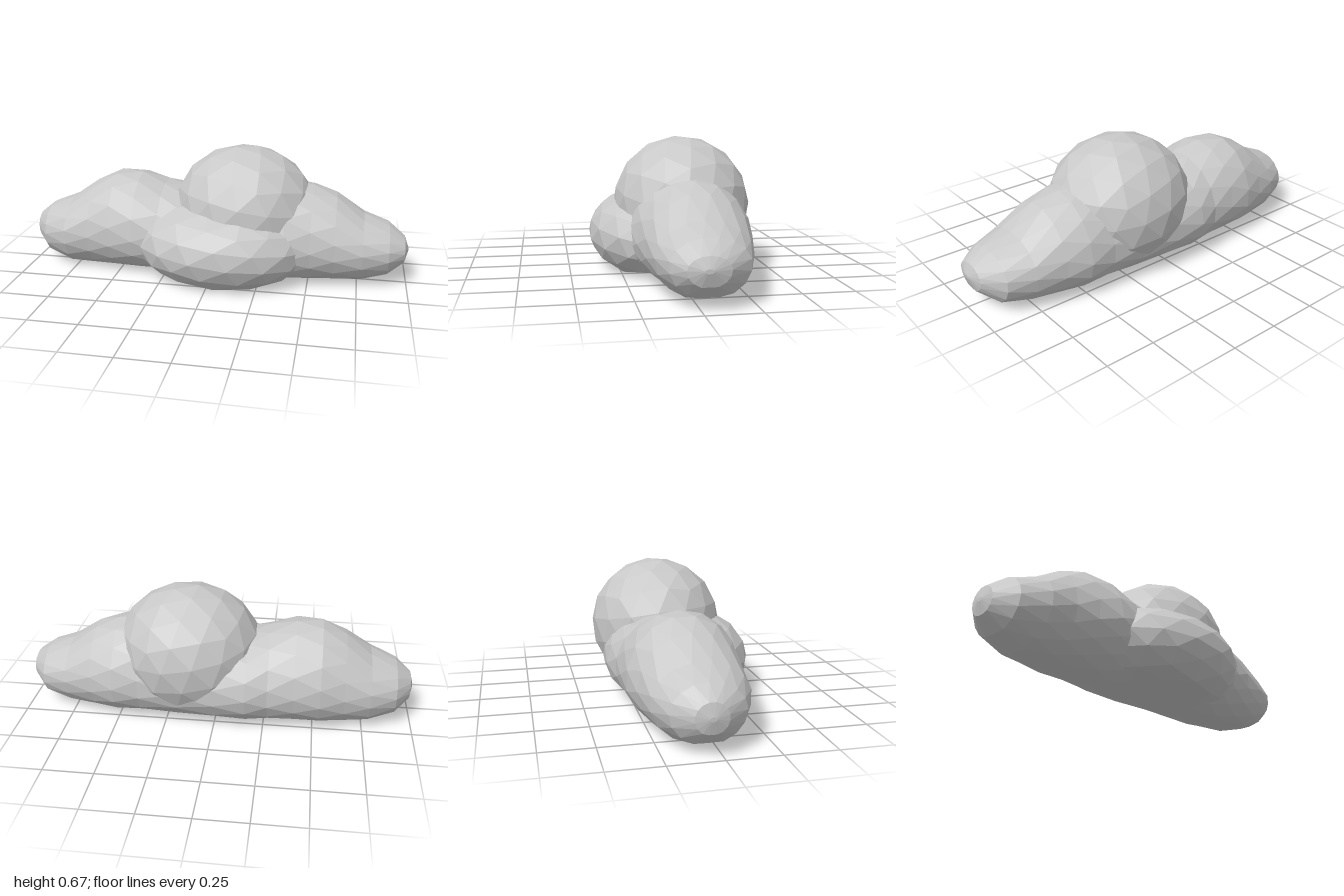
import * as THREE from 'three';

const cloudGrey = new THREE.MeshStandardMaterial({ color: 0xc8c8c8, flatShading: true });
cloudGrey.name = 'cloud grey';

// Cross-sections along x: [x, bottom, middle, top, back z, front z]
const SECTIONS = [
  [-1.0, 0.17, 0.18, 0.19, -0.07, -0.04],
  [-0.985, 0.11, 0.18, 0.25, -0.13, 0.02],
  [-0.91, 0.045, 0.18, 0.31, -0.22, 0.12],
  [-0.78, 0.005, 0.19, 0.36, -0.275, 0.18],
  [-0.65, 0, 0.2, 0.45, -0.305, 0.19],
  [-0.53, 0, 0.21, 0.505, -0.335, 0.21],
  [-0.4, 0, 0.21, 0.505, -0.34, 0.23],
  [-0.27, 0, 0.2, 0.465, -0.345, 0.225],
  [-0.16, 0, 0.2, 0.44, -0.37, 0.225],
  [0.0, 0, 0.2, 0.45, -0.365, 0.23],
  [0.2, 0, 0.2, 0.48, -0.35, 0.24],
  [0.38, 0, 0.2, 0.5, -0.335, 0.235],
  [0.51, 0, 0.2, 0.48, -0.335, 0.21],
  [0.63, 0.005, 0.2, 0.44, -0.305, 0.19],
  [0.77, 0.012, 0.19, 0.345, -0.27, 0.17],
  [0.9, 0.045, 0.18, 0.3, -0.225, 0.13],
  [0.98, 0.11, 0.18, 0.24, -0.12, 0.07],
  [1.0, 0.17, 0.18, 0.19, -0.04, 0.0],
];

// Long base: half ellipses above and below each section's widest level
function baseGeometry(sides = 16) {
  const points = [];
  const index = [];
  const last = SECTIONS.length - 1;
  SECTIONS.forEach(([x, bottom, middle, top, back, front], i) => {
    for (let j = 0; j < sides; j++) {
      const a = ((j + (i % 2) / 2) / sides) * Math.PI * 2;
      const c = Math.cos(a);
      const y = c > 0
        ? middle + c * (top - middle)
        : middle - Math.min(1, -c * 1.07) * (middle - bottom);
      points.push(x, y, (back + front) / 2 + Math.sin(a) * (front - back) / 2);
    }
  });
  for (let i = 0; i < last; i++) {
    for (let j = 0; j < sides; j++) {
      const k = (j + 1) % sides;
      const a = i * sides + j, b = i * sides + k;
      const c = a + sides, d = b + sides;
      // Alternate diagonals follow the half-step twist between rings
      if (i % 2) index.push(a, b, d, a, d, c);
      else index.push(a, b, c, b, d, c);
    }
  }
  // Close both tips
  for (let j = 1; j < sides - 1; j++) {
    const o = last * sides;
    index.push(0, j + 1, j, o, o + j, o + j + 1);
  }
  const g = new THREE.BufferGeometry();
  g.setAttribute('position', new THREE.Float32BufferAttribute(points, 3));
  g.setIndex(index);
  g.computeVertexNormals();
  return g;
}

// Faceted ellipsoid, flattened where it meets the ground
function puffGeometry(centre, radii) {
  const g = new THREE.IcosahedronGeometry(1.012, 2);
  g.rotateZ(0.35);
  g.rotateY(0.5);
  g.scale(...radii);
  g.translate(...centre);
  const p = g.attributes.position;
  for (let i = 0; i < p.count; i++) p.setY(i, Math.max(0.002, p.getY(i)));
  g.computeVertexNormals();
  return g;
}

export function createModel() {
  const cloud = new THREE.Group();
  cloud.name = 'cloud';
  const add = (name, geometry) => {
    const mesh = new THREE.Mesh(geometry, cloudGrey);
    mesh.name = name;
    cloud.add(mesh);
  };
  add('longBase', baseGeometry());
  add('tallPuff', puffGeometry([0.15, 0.33, -0.06], [0.37, 0.337, 0.337]));
  add('frontPuff', puffGeometry([0.05, 0.18, 0.05], [0.46, 0.235, 0.345]));
  return cloud;
}
